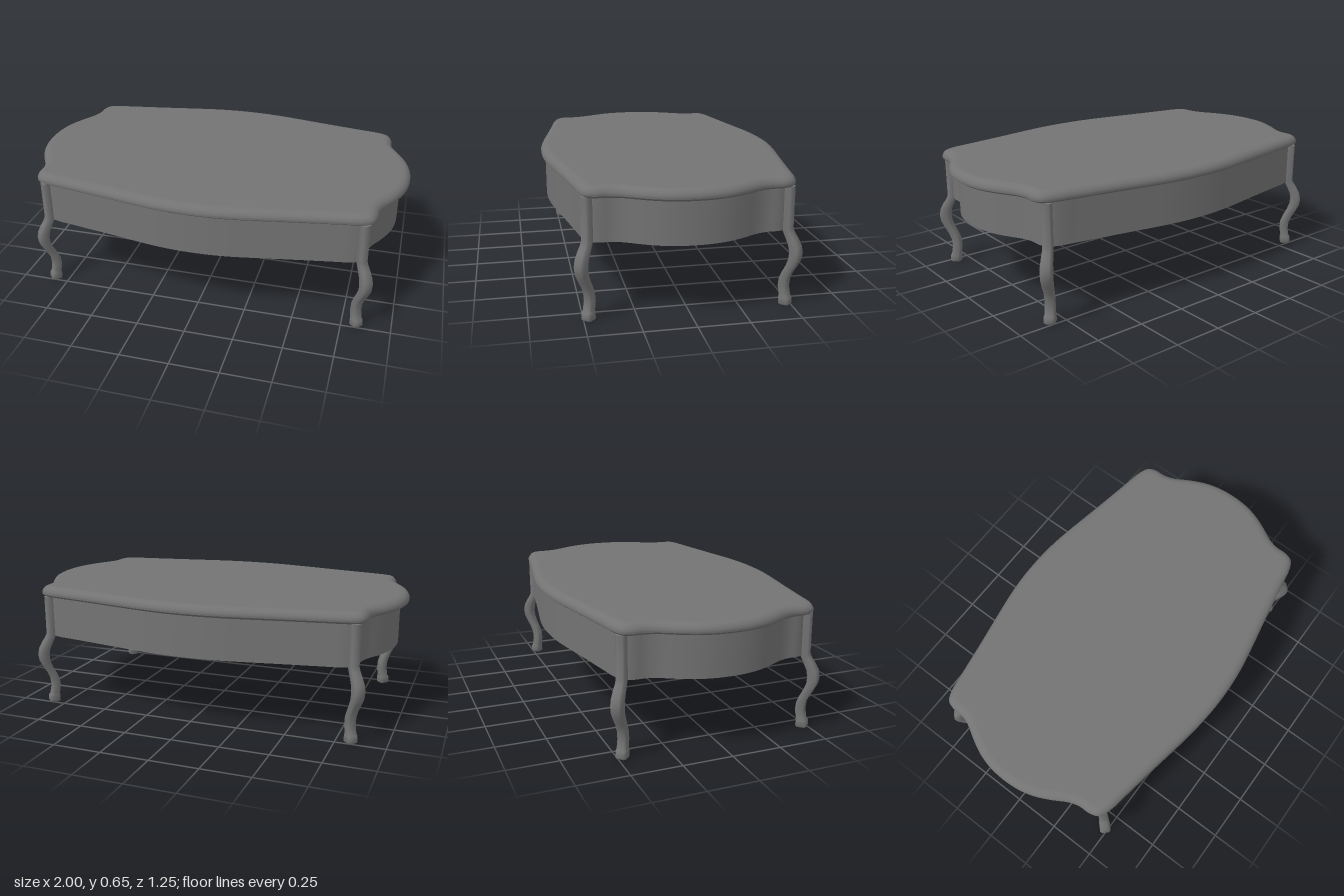
import * as THREE from 'three';
import { toCreasedNormals } from 'three/addons/utils/BufferGeometryUtils.js';

const material = new THREE.MeshStandardMaterial({ color: 0x737373 });

// One quarter of the scalloped plan, from the end (+x) round to the front (+z)
const QUARTER = [
  [1, 0], [0.993, 0.09], [0.972, 0.17], [0.935, 0.25], [0.893, 0.325], [0.877, 0.38],
  [0.875, 0.435], [0.858, 0.48], [0.81, 0.505], [0.7, 0.525], [0.5, 0.559],
  [0.3, 0.595], [0.2, 0.611], [0.1, 0.621], [0, 0.624],
];

// Full plan outline, mirrored four ways and scaled
function outline(sx = 1, sz = 1) {
  const back = QUARTER.slice(0, -1).reverse();
  const half = [...QUARTER, ...back.map(([x, z]) => [-x, z])];
  const all = [...half, ...half.slice(1, -1).reverse().map(([x, z]) => [x, -z])];
  const curve = new THREE.CatmullRomCurve3(
    all.map(([x, z]) => new THREE.Vector3(x * sx, 0, z * sz)), true, 'centripetal');
  return curve.getPoints(168).slice(0, -1);
}

// Outline moved inwards along its normals, at height y
function inset(loop, d, y) {
  const n = loop.length;
  return loop.map((p, i) => {
    const t = loop[(i + 1) % n].clone().sub(loop[(i + n - 1) % n]).normalize();
    return new THREE.Vector3(p.x - t.z * d, y, p.z + t.x * d);
  });
}

// Skin through loops of equal length, closing the chosen ends with a fan
function loft(rows, { bottom = false, top = false, crease = 0.6 } = {}) {
  const pos = [];
  const tri = (...pts) => pts.forEach((p) => pos.push(p.x, p.y, p.z));
  const centre = (row) => row.reduce((s, p) => s.add(p), new THREE.Vector3()).divideScalar(row.length);
  const n = rows[0].length;
  const first = rows[0], last = rows[rows.length - 1];
  for (let i = 0; i < n; i++) {
    const k = (i + 1) % n;
    for (let j = 0; j + 1 < rows.length; j++) {
      const a = rows[j], b = rows[j + 1];
      tri(a[i], b[i], a[k]);
      tri(b[i], b[k], a[k]);
    }
    if (bottom) tri(centre(first), first[i], first[k]);
    if (top) tri(centre(last), last[k], last[i]);
  }
  const geometry = new THREE.BufferGeometry();
  geometry.setAttribute('position', new THREE.Float32BufferAttribute(pos, 3));
  return toCreasedNormals(geometry, crease);
}

// Cabriole leg: softened square section swept along a bow in +x
function legGeometry() {
  // height, bow outwards, half depth, half width
  const stations = [
    [0, 0.003, 0.024, 0.024], [0.006, 0.004, 0.028, 0.028], [0.036, 0.003, 0.027, 0.027],
    [0.046, 0.0, 0.023, 0.024], [0.09, -0.008, 0.023, 0.023], [0.13, -0.004, 0.023, 0.023],
    [0.165, 0.01, 0.023, 0.023], [0.2, 0.029, 0.024, 0.025], [0.235, 0.044, 0.026, 0.027],
    [0.27, 0.048, 0.027, 0.028], [0.305, 0.041, 0.027, 0.027], [0.34, 0.023, 0.026, 0.025],
    [0.365, 0.008, 0.024, 0.023], [0.385, 0.0, 0.023, 0.023], [0.59, 0, 0.023, 0.023],
  ];
  const c = 0.66; // where the corner chamfer starts
  const section = [[1, -c], [1, c], [c, 1], [-c, 1], [-1, c], [-1, -c], [-c, -1], [c, -1]];
  const rows = stations.map(([y, bow, d, w]) =>
    section.map(([x, z]) => new THREE.Vector3(bow + x * d, y, z * w)));
  return loft(rows, { bottom: true, top: true, crease: 0.9 });
}

export function createModel() {
  const group = new THREE.Group();
  const add = (name, geometry) => {
    const mesh = new THREE.Mesh(geometry, material);
    mesh.name = name;
    group.add(mesh);
    return mesh;
  };

  // Tabletop with a moulded edge and a flat surface
  const plan = outline();
  const edge = [
    [0.022, 0.588], [0.014, 0.591], [0.001, 0.601], [0, 0.607], [0, 0.615],
    [0.006, 0.627], [0.015, 0.637], [0.027, 0.643], [0.04, 0.646], [0.05, 0.646],
  ];
  add('tabletop', loft(edge.map(([d, y]) => inset(plan, d, y)), { bottom: true, top: true }));

  // Apron with a rim around its recessed underside
  const apronPlan = outline(0.955, 0.965);
  const apron = [[0.03, 0.4], [0.03, 0.376], [0, 0.376], [0, 0.595]];
  add('apron', loft(apron.map(([d, y]) => inset(apronPlan, d, y)), { bottom: true }));

  // Four legs bowing out along the diagonals
  const leg = legGeometry();
  for (const [sx, sz, name] of [
    [1, 1, 'frontLeftLeg'], [-1, 1, 'frontRightLeg'], [1, -1, 'backLeftLeg'], [-1, -1, 'backRightLeg'],
  ]) {
    const mesh = add(name, leg);
    mesh.position.set(sx * 0.822, 0, sz * 0.473);
    mesh.rotation.y = -Math.atan2(sz, sx);
  }
  return group;
}
